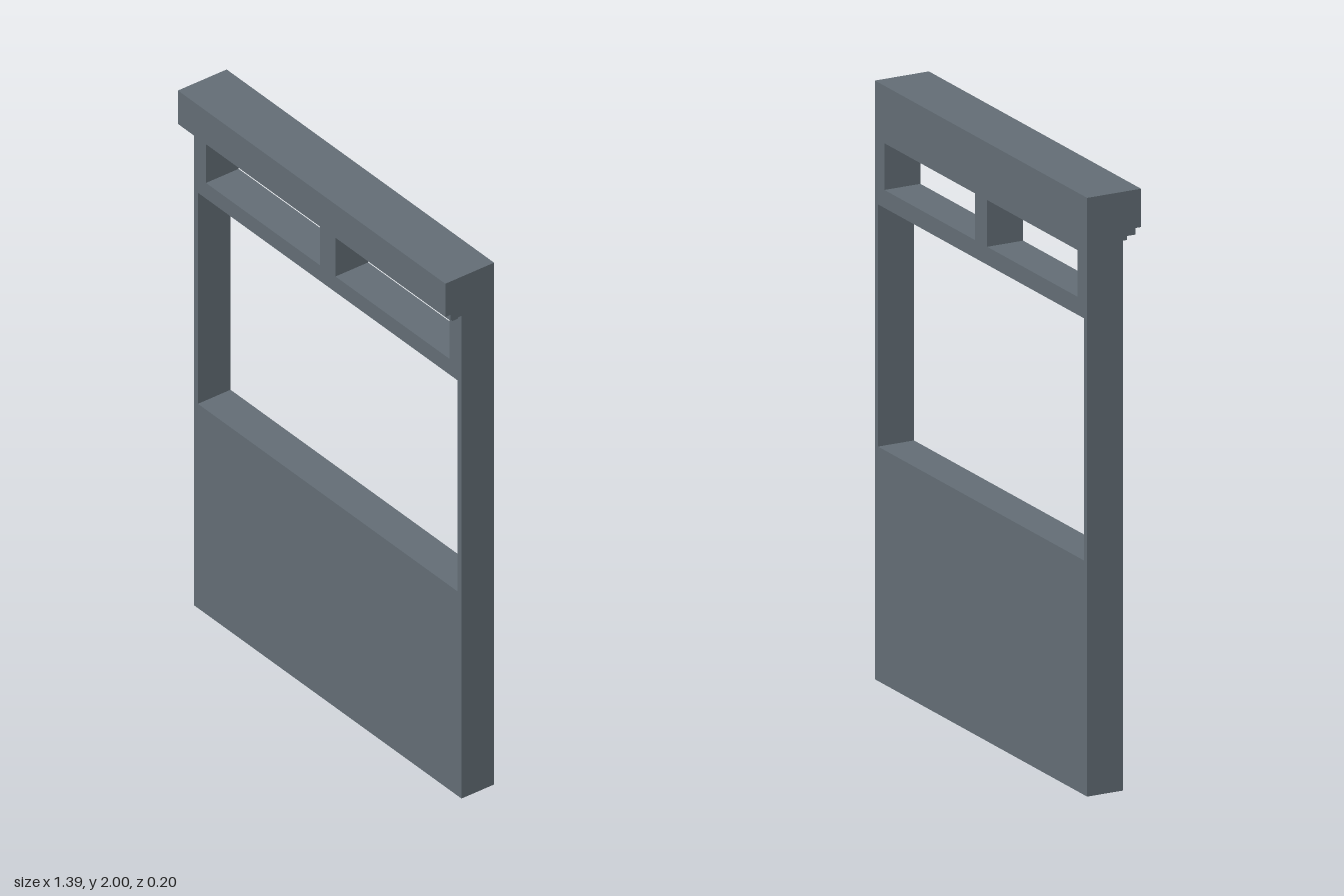
import * as THREE from 'three';

export function createModel() {
  const model = new THREE.Group();
  model.name = 'windowWallPanel';
  const slate = new THREE.MeshStandardMaterial({ color: 0x626c74 });
  slate.name = 'slateGrey';

  const back = -0.098, front = 0.033, halfWidth = 0.695;

  // Closed rectangle traced counter-clockwise
  const rect = (target, x0, x1, y0, y1) => {
    target.moveTo(x0, y0);
    target.lineTo(x1, y0);
    target.lineTo(x1, y1);
    target.lineTo(x0, y1);
    target.closePath();
    return target;
  };

  // Wall panel with a large opening and two transom openings
  const wall = rect(new THREE.Shape(), -halfWidth, halfWidth, 0, 2);
  const openings = [
    [-0.675, 0.675, 0.783, 1.592],
    [-0.633, -0.04, 1.652, 1.808],
    [0.04, 0.633, 1.652, 1.808],
  ];
  for (const o of openings) wall.holes.push(rect(new THREE.Path(), ...o));
  const wallGeometry = new THREE.ExtrudeGeometry(wall, { depth: front - back, bevelEnabled: false });
  wallGeometry.translate(0, 0, back);
  const panel = new THREE.Mesh(wallGeometry, slate);
  panel.name = 'wallPanel';
  model.add(panel);

  // Stepped cornice: half width, bottom, top, front face
  const steps = [
    ['corniceBlock', halfWidth, 1.872, 2, 0.098],
    ['upperMoulding', halfWidth, 1.85, 1.872, 0.078],
    ['lowerMoulding', 0.677, 1.83, 1.85, 0.057],
  ];
  for (const [name, hw, y0, y1, z1] of steps) {
    const geometry = new THREE.BoxGeometry(hw * 2, y1 - y0, z1 - front);
    const mesh = new THREE.Mesh(geometry, slate);
    mesh.position.set(0, (y0 + y1) / 2, (front + z1) / 2);
    mesh.name = name;
    model.add(mesh);
  }
  return model;
}
